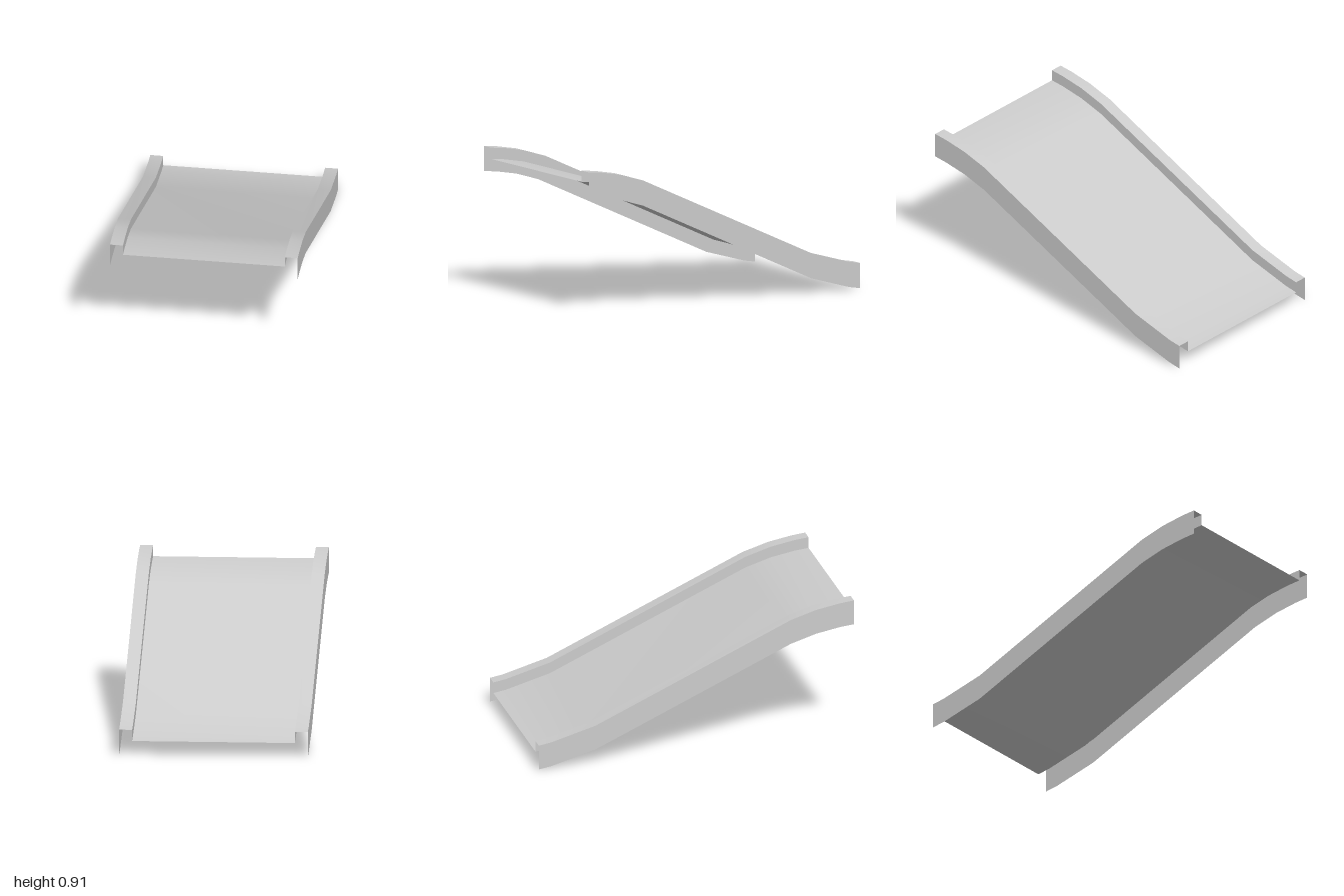
import * as THREE from 'three';

// Slope of the rail tops as [z, y], from the high front end to the low back end
const path = [[1, 0.91], [0.91, 0.9], [0.76, 0.872], [0.6, 0.822], [-0.64, 0.252], [-0.92, 0.171], [-1, 0.157]];

const material = new THREE.MeshStandardMaterial({ color: 0xcccccc, side: THREE.DoubleSide });

// Sweeps one straight edge of the cross-section, a to b as [x, y offset], down the slope
function strip(name, a, b) {
  const positions = [], indices = [];
  path.forEach(([z, y], i) => {
    positions.push(a[0], y + a[1], z, b[0], y + b[1], z);
    if (i > 0) {
      const k = 2 * (i - 1);
      indices.push(k, k + 1, k + 2, k + 1, k + 3, k + 2);
    }
  });
  const geometry = new THREE.BufferGeometry();
  geometry.setAttribute('position', new THREE.Float32BufferAttribute(positions, 3));
  geometry.setIndex(indices);
  geometry.computeVertexNormals();
  const mesh = new THREE.Mesh(geometry, material);
  mesh.name = name;
  return mesh;
}

export function createModel() {
  const group = new THREE.Group();
  group.name = 'slide';

  // Open sheet cross-section, running from the right side to the left
  const half = [[-0.58, -0.157], [-0.58, 0], [-0.5, 0], [-0.5, -0.07]];
  const profile = [...half, ...half.map(([x, y]) => [-x, y]).reverse()];
  const names = [
    'rightOuterWall', 'rightRailTop', 'rightInnerWall',
    'slideDeck',
    'leftInnerWall', 'leftRailTop', 'leftOuterWall',
  ];
  names.forEach((name, i) => group.add(strip(name, profile[i], profile[i + 1])));
  return group;
}
